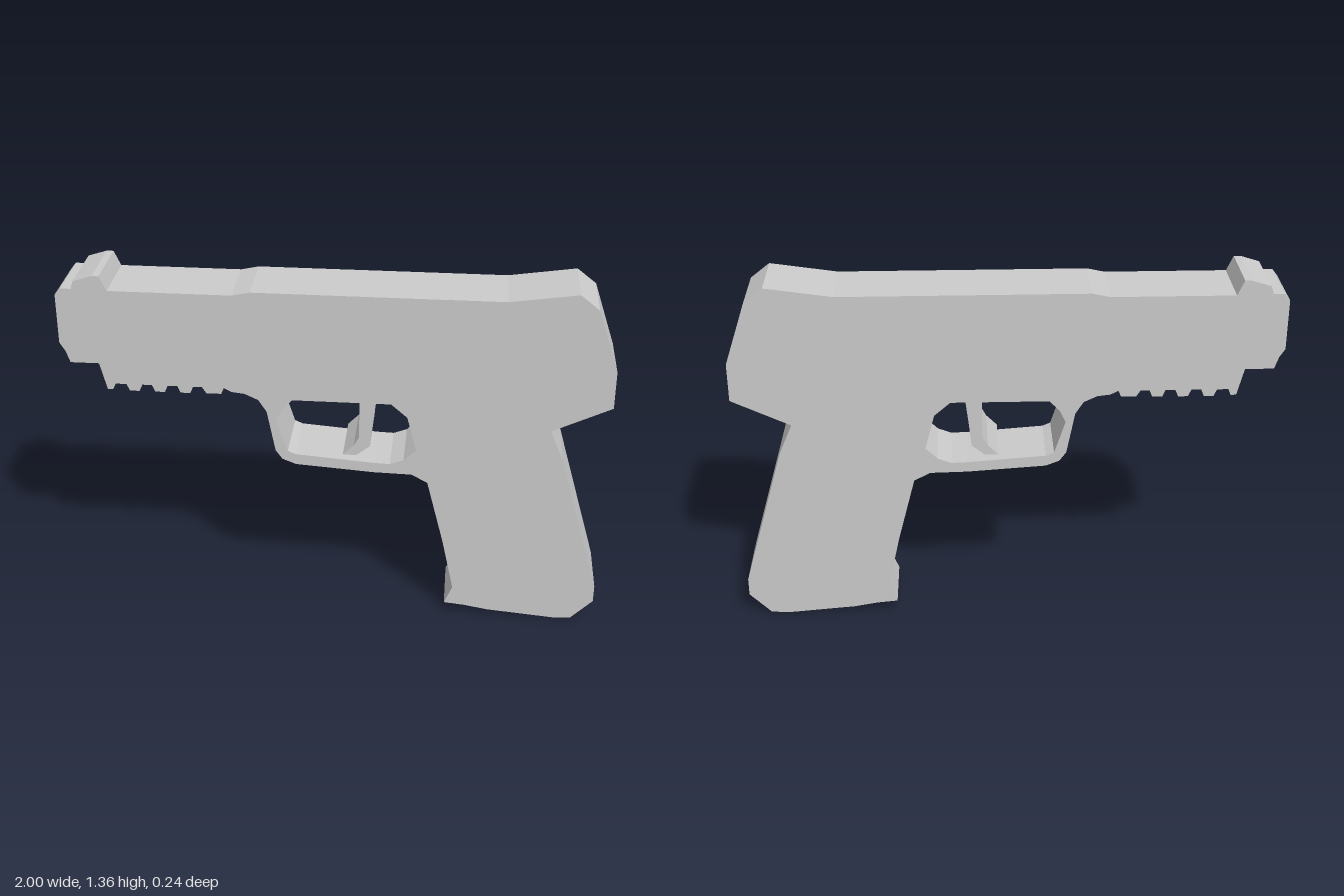
import * as THREE from 'three';

const DEPTH = 0.24;
const toPoints = (list) => list.map(([x, y]) => new THREE.Vector2(x, y));

// Flat plate of constant thickness, centred on z = 0 (outline clockwise, hole counter-clockwise)
function plate(name, outline, hole) {
  const shape = new THREE.Shape(toPoints(outline));
  if (hole) shape.holes.push(new THREE.Path(toPoints(hole)));
  const geometry = new THREE.ExtrudeGeometry(shape, { depth: DEPTH, bevelEnabled: false });
  geometry.translate(0, 0, -DEPTH / 2);
  const mesh = new THREE.Mesh(geometry, new THREE.MeshStandardMaterial({ color: 0xcccccc, flatShading: true }));
  mesh.name = name;
  return mesh;
}

export function createModel() {
  // Muzzle, front sight, slide top and rear
  const slide = [
    [-0.98, 1.065], [-1, 1.097], [-1, 1.285], [-0.98, 1.31], [-0.94, 1.31], [-0.93, 1.34],
    [-0.86, 1.362], [-0.835, 1.362], [-0.81, 1.307], [-0.365, 1.307], [-0.3, 1.321],
    [0.605, 1.321], [0.85, 1.357], [0.92, 1.302], [1, 1.067], [1, 0.923],
  ];

  // Back strap, base and front strap of the grip
  const grip = [
    [0.785, 0.82], [0.835, 0.705], [0.995, 0.155], [0.995, 0.087], [0.915, 0.005], [0.85, 0],
    [0.59, 0.022], [0.505, 0.037], [0.425, 0.045], [0.455, 0.117], [0.41, 0.325], [0.345, 0.58],
  ];

  // Outside of the trigger guard
  const guard = [
    [0.285, 0.612], [0.145, 0.615], [-0.145, 0.635], [-0.195, 0.655], [-0.22, 0.69],
    [-0.25, 0.85], [-0.28, 0.897], [-0.33, 0.92], [-0.375, 0.925], [-0.405, 0.94],
  ];

  // Accessory rail: a wide rear tooth, then evenly spaced teeth
  const rail = [[-0.415, 0.916], [-0.47, 0.916], [-0.485, 0.94]];
  for (let i = 0; i < 3; i++) {
    const x = -0.545 - i * 0.094;
    rail.push([x + 0.027, 0.94], [x + 0.016, 0.914], [x - 0.02, 0.914], [x - 0.031, 0.94]);
  }
  rail.push([-0.765, 0.94], [-0.805, 0.94], [-0.815, 0.917], [-0.835, 0.917]);

  // Dust cover below the muzzle
  const dustCover = [[-0.86, 1.02], [-0.965, 1.02]];

  // Opening inside the trigger guard
  const opening = [
    [-0.195, 0.86], [-0.215, 0.815], [-0.175, 0.69], [-0.145, 0.677], [0.145, 0.655], [0.205, 0.653],
    [0.255, 0.672], [0.3, 0.715], [0.265, 0.85], [0.205, 0.902], [-0.155, 0.902],
  ];

  const model = new THREE.Group();
  model.name = 'pistol';
  model.add(plate('body', [...slide, ...grip, ...guard, ...rail, ...dustCover], opening));
  model.add(plate('trigger', [
    [0.09, 0.902], [0.09, 0.76], [0.07, 0.725], [0.03, 0.685], [0.08, 0.685],
    [0.13, 0.725], [0.135, 0.78], [0.15, 0.902],
  ].reverse()));
  return model;
}
